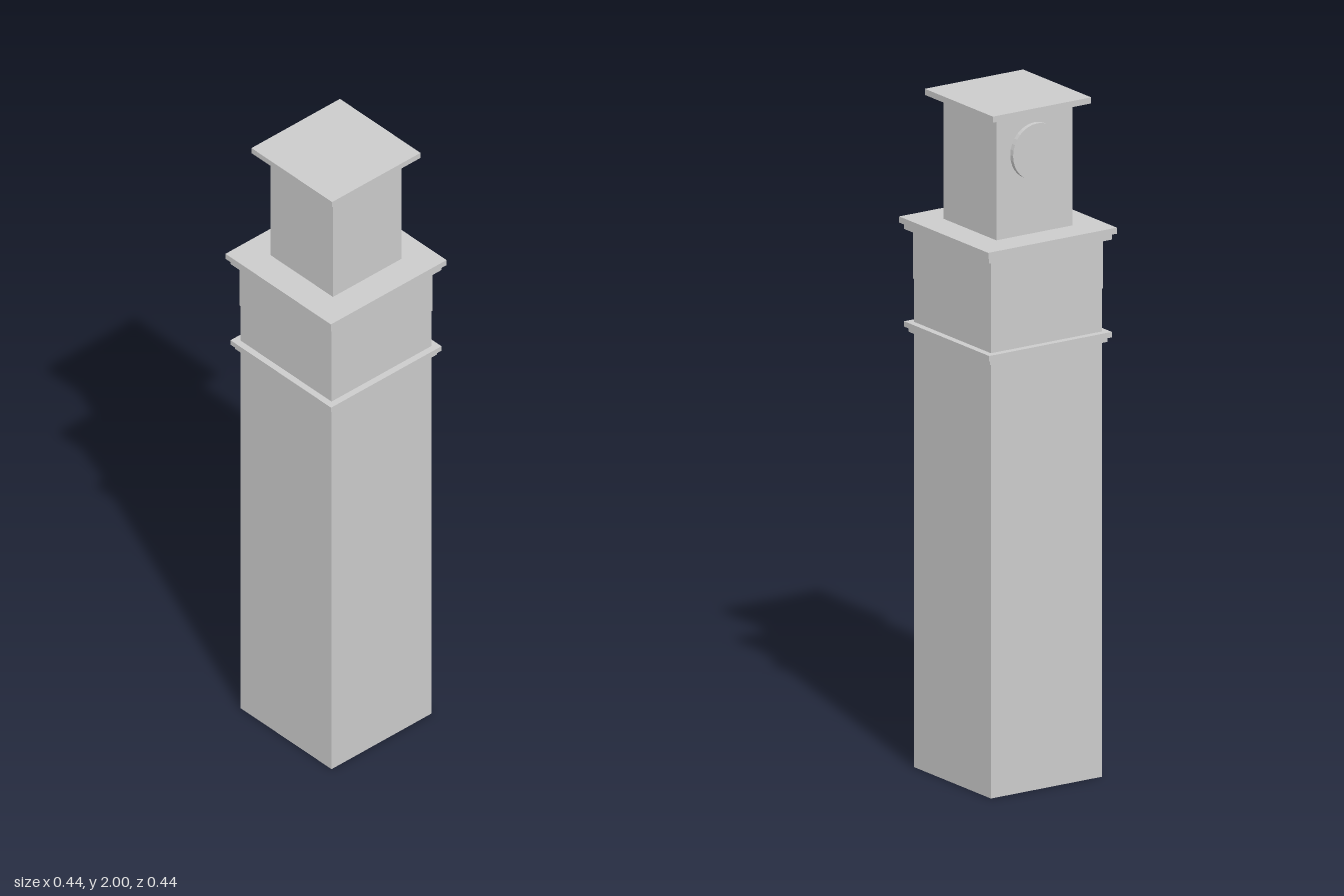
import * as THREE from 'three';

const material = new THREE.MeshStandardMaterial({ color: 0xcccccc, flatShading: true });
const panelMaterial = new THREE.MeshStandardMaterial({ color: 0xcccccc, side: THREE.DoubleSide });

export function createModel() {
  const tower = new THREE.Group();
  tower.name = 'clockTower';

  const add = (name, geometry, x, y, z, parent = tower, surface = material) => {
    const mesh = new THREE.Mesh(geometry, surface);
    mesh.name = name;
    mesh.position.set(x, y, z);
    parent.add(mesh);
    return mesh;
  };

  // Square blocks stacked up the tower: name, half width, bottom, top
  const blocks = [
    ['shaft', 0.191, 0, 1.584],
    ['beltLowerStep', 0.202, 1.282, 1.296],
    ['beltUpperStep', 0.211, 1.296, 1.312],
    ['corniceLowerStep', 0.211, 1.584, 1.602],
    ['corniceUpperStep', 0.221, 1.602, 1.62],
    ['clockRoom', 0.131, 1.62, 1.982],
    ['roofSlab', 0.169, 1.982, 2],
  ];
  for (const [name, half, bottom, top] of blocks) {
    add(name, new THREE.BoxGeometry(half * 2, top - bottom, half * 2), 0, (bottom + top) / 2, 0);
  }

  // Thin panels just off the shaft, under the cornice
  const panels = new THREE.Group();
  panels.name = 'upperPanels';
  for (let i = 0; i < 4; i++) {
    const angle = i * Math.PI / 2;
    const panel = add('upperPanel', new THREE.PlaneGeometry(0.382, 0.144),
      Math.sin(angle) * 0.195, 1.512, Math.cos(angle) * 0.195, panels, panelMaterial);
    panel.rotation.y = angle;
  }
  tower.add(panels);

  // Round clock face on the back of the clock room
  const clock = add('clockFace', new THREE.CylinderGeometry(0.083, 0.083, 0.016, 32), 0, 1.863, -0.137);
  clock.rotation.x = -Math.PI / 2;

  return tower;
}
